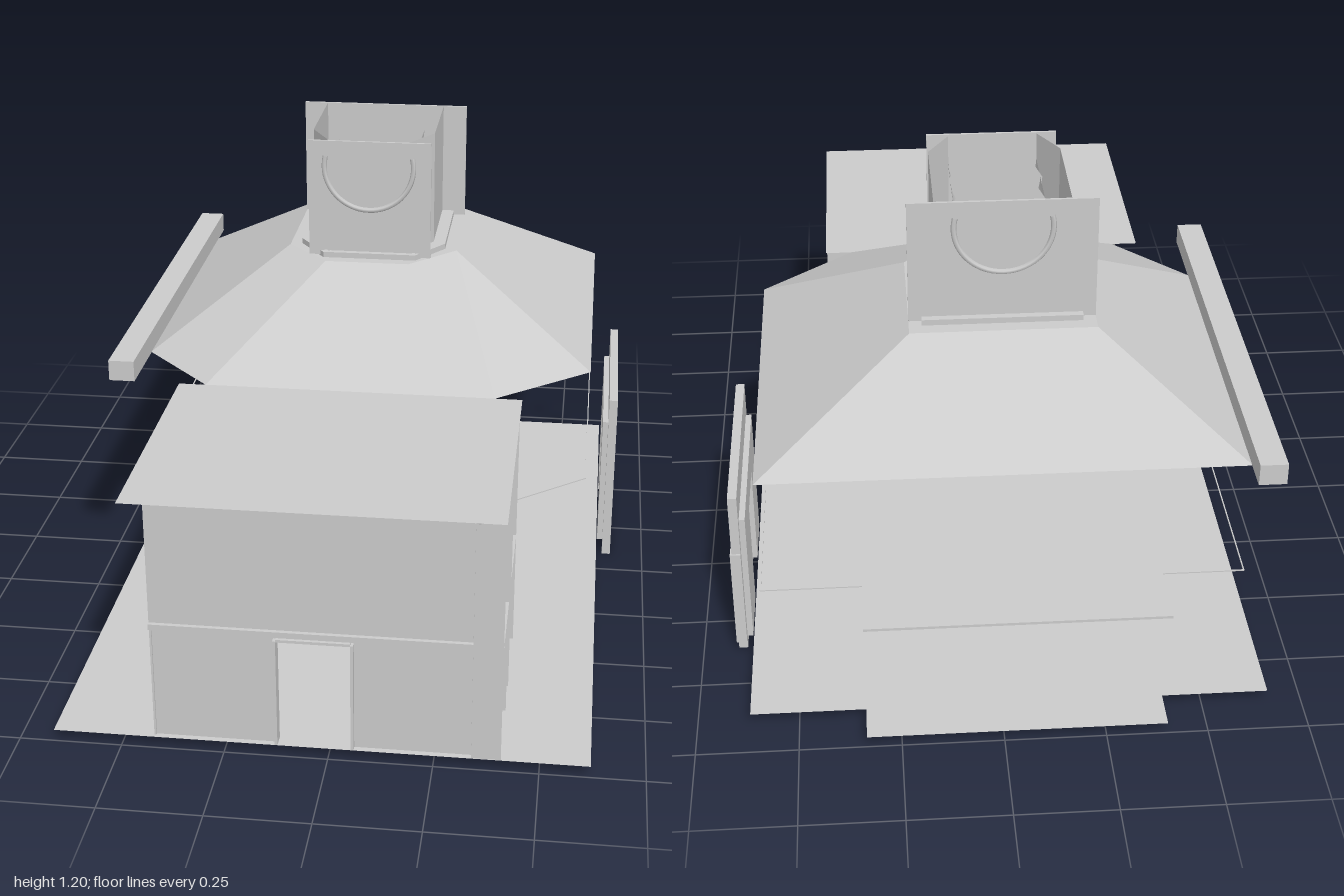
import * as THREE from 'three';

const mat = new THREE.MeshStandardMaterial({ color: 0xcccccc, side: THREE.DoubleSide, flatShading: true });
const smooth = new THREE.MeshStandardMaterial({ color: 0xcccccc, side: THREE.DoubleSide });

export function createModel() {
  const root = new THREE.Group();
  const add = (name, geo, m = mat) => {
    const mesh = new THREE.Mesh(geo, m);
    mesh.name = name;
    root.add(mesh);
    return mesh;
  };
  // box from min / max corners
  const box = (name, x0, x1, y0, y1, z0, z1) =>
    add(name, new THREE.BoxGeometry(x1 - x0, y1 - y0, z1 - z0)
      .translate((x0 + x1) / 2, (y0 + y1) / 2, (z0 + z1) / 2));
  // thin sheet from a convex loop of 3D corners
  const sheet = (name, pts) => {
    const pos = [];
    for (let i = 1; i < pts.length - 1; i++) pos.push(...pts[0], ...pts[i], ...pts[i + 1]);
    const g = new THREE.BufferGeometry();
    g.setAttribute('position', new THREE.Float32BufferAttribute(pos, 3));
    g.computeVertexNormals();
    return add(name, g);
  };
  const shapeOf = (pts, hole) => {
    const s = new THREE.Shape(pts.map(p => new THREE.Vector2(...p)));
    if (hole) s.holes.push(new THREE.Path(hole.map(p => new THREE.Vector2(...p))));
    return s;
  };
  // horizontal ring from [x, z] loops, rising by h from y
  const ring = (name, outer, inner, y, h) =>
    add(name, new THREE.ExtrudeGeometry(
      shapeOf(outer.map(([x, z]) => [x, -z]), inner.map(([x, z]) => [x, -z])),
      { depth: h, bevelEnabled: false }).rotateX(-Math.PI / 2).translate(0, y, 0));

  // ground
  sheet('ground', [[-0.665, 0.03, 1], [0.62, 0.03, 1], [0.62, 0.03, -0.9], [-0.665, 0.03, -0.9]]);
  sheet('rearGround', [[-0.4, 0.03, -0.9], [0.335, 0.03, -0.9], [0.335, 0.03, -1], [-0.4, 0.03, -1]]);

  // entrance block: roof, front wall with doorway, ledge
  sheet('entranceRoof', [[-0.48, 0.653, 1], [0.41, 0.653, 1], [0.41, 0.653, 0.32], [-0.48, 0.653, 0.32]]);
  sheet('frontWallUpper', [[-0.42, 0.32, 0.99], [0.34, 0.32, 0.99], [0.34, 0.65, 0.99], [-0.42, 0.65, 0.99]]);
  sheet('frontWallLeft', [[-0.42, 0.03, 0.985], [-0.12, 0.03, 0.985], [-0.12, 0.32, 0.985], [-0.42, 0.32, 0.985]]);
  sheet('frontWallRight', [[0.055, 0.03, 0.985], [0.34, 0.03, 0.985], [0.34, 0.32, 0.985], [0.055, 0.32, 0.985]]);
  box('frontLedge', -0.42, 0.34, 0.325, 0.34, 0.985, 1);
  box('cornerPost', -0.42, -0.415, 0.03, 0.65, 0.945, 0.99);
  for (const x of [-0.127, 0.055]) box('doorJamb', x, x + 0.007, 0.03, 0.315, 0.965, 1);
  box('doorHead', -0.12, 0.055, 0.313, 0.32, 0.965, 1);

  // side wall of the entrance with fins and shelves
  sheet('sideWall', [[0.34, 0.03, 1], [0.34, 0.03, 0.45], [0.34, 0.65, 0.45], [0.34, 0.65, 1]]);
  for (const z of [0.998, 0.79, 0.68, 0.453])
    sheet('sideFin', [[0.34, 0.03, z], [0.41, 0.03, z], [0.41, 0.65, z], [0.34, 0.65, z]]);
  for (const [z0, z1] of [[0.79, 0.998], [0.453, 0.68]])
    sheet('sideShelf', [[0.34, 0.335, z0], [0.41, 0.335, z0], [0.41, 0.335, z1], [0.34, 0.335, z1]]);
  box('sideStep', 0.34, 0.4, 0.145, 0.2, 0.68, 0.79);

  // hanging brackets with cut lower corners
  for (const x of [-0.42, 0.34])
    sheet('hangingBracket', [[x, 0.65, 0.52], [x, 0.43, 0.52], [x, 0.39, 0.5], [x, 0.39, 0.335],
      [x, 0.4, 0.325], [x, 0.65, 0.325]]);

  // main hipped roof, six slopes
  const eave = [[-0.41, 0.32], [0.34, 0.32], [0.58, 0.12], [0.58, -0.81], [-0.6, -0.81], [-0.6, 0.12]];
  const crown = [[-0.145, -0.035], [0.08, -0.035], [0.2, -0.16], [0.2, -0.52], [-0.26, -0.52], [-0.26, -0.16]];
  eave.forEach(([x, z], i) => {
    const j = (i + 1) % 6;
    sheet('roofSlope', [[x, 0.653, z], [eave[j][0], 0.653, eave[j][1]],
      [crown[j][0], 0.877, crown[j][1]], [crown[i][0], 0.877, crown[i][1]]]);
  });

  // tower opening collar
  const towerPlan = [[-0.145, -0.095], [0.08, -0.095], [0.135, -0.185], [0.135, -0.46], [-0.195, -0.46], [-0.195, -0.185]];
  const collarPlan = [[-0.155, -0.065], [0.095, -0.065], [0.168, -0.17], [0.168, -0.485], [-0.228, -0.485], [-0.228, -0.17]];
  ring('crownDeck', crown, towerPlan, 0.874, 0.003);
  ring('collar', collarPlan, towerPlan, 0.877, 0.015);

  // tower walls and larger end panels
  towerPlan.forEach(([x, z], i) => {
    const [u, w] = towerPlan[(i + 1) % 6];
    sheet('towerWall', [[x, 0.88, z], [u, 0.88, w], [u, 1.2, w], [x, 1.2, z]]);
  });
  box('towerFrontPanel', -0.195, 0.135, 0.88, 1.2, -0.087, -0.08);
  box('towerBackPanel', -0.26, 0.2, 0.88, 1.2, -0.467, -0.46);

  // round trough between the panels, with half rings on the ends
  add('trough', new THREE.CylinderGeometry(0.113, 0.113, 0.37, 24, 1, true, -Math.PI / 2, Math.PI)
    .rotateX(Math.PI / 2).translate(-0.032, 1.13, -0.275), smooth);
  for (const z of [-0.08, -0.467])
    add('endRing', new THREE.TorusGeometry(0.12, 0.007, 6, 32, Math.PI * 1.15)
      .rotateZ(Math.PI * 0.925).translate(-0.032, 1.13, z), smooth);

  // cross ribs and small feet
  for (const z of [-0.2, -0.34])
    sheet('towerRib', [[-0.15, 1.03, z], [0.085, 1.03, z], [0.085, 1.13, z], [0.06, 1.17, z],
      [-0.125, 1.17, z], [-0.15, 1.13, z]]);
  for (const z of [-0.09, -0.2, -0.36, -0.455])
    for (const x of [-0.15, 0.085]) box('towerFoot', x - 0.011, x + 0.011, 0.877, 0.893, z - 0.011, z + 0.011);

  // long beam along the eave
  box('eaveBeam', -0.665, -0.598, 0.653, 0.708, -0.89, 0.32);

  // thin floor line under the eaves and rear canopy
  eave.forEach(([x, z], i) => {
    if (i === 0) return;
    const [u, w] = eave[(i + 1) % 6];
    const len = Math.hypot(u - x, w - z);
    const strip = add('floorLine', new THREE.BoxGeometry(len, 0.003, 0.003));
    strip.position.set((x + u) / 2, 0.342, (z + w) / 2);
    strip.rotation.y = -Math.atan2(w - z, u - x);
  });
  box('rearCanopy', -0.4, 0.335, 0.337, 0.344, -0.975, -0.81);

  // detached side wall with doorway, laid out in z and y
  const gate = (name, pts, x0, x1) =>
    add(name, new THREE.ExtrudeGeometry(shapeOf(pts.map(([z, y]) => [-z, y])), { depth: x1 - x0, bevelEnabled: false })
      .rotateY(Math.PI / 2).translate(x0, 0, 0));
  const doorway = (z0, z1, top, y0) => [[z0, y0], [z0, top], [z1, top], [z1, y0],
    [-0.44, y0], [-0.44, 0.317], [-0.27, 0.317], [-0.27, y0]];
  gate('gateWall', doorway(-0.09, -0.62, 0.48, 0.03), 0.637, 0.66);
  gate('gateLining', doorway(-0.12, -0.6, 0.4, 0.03), 0.622, 0.637);
  box('gateBase', 0.637, 0.66, 0, 0.03, -0.61, -0.09);
  box('gatePost', 0.637, 0.664, 0.03, 0.31, -0.625, -0.595);

  return root;
}
